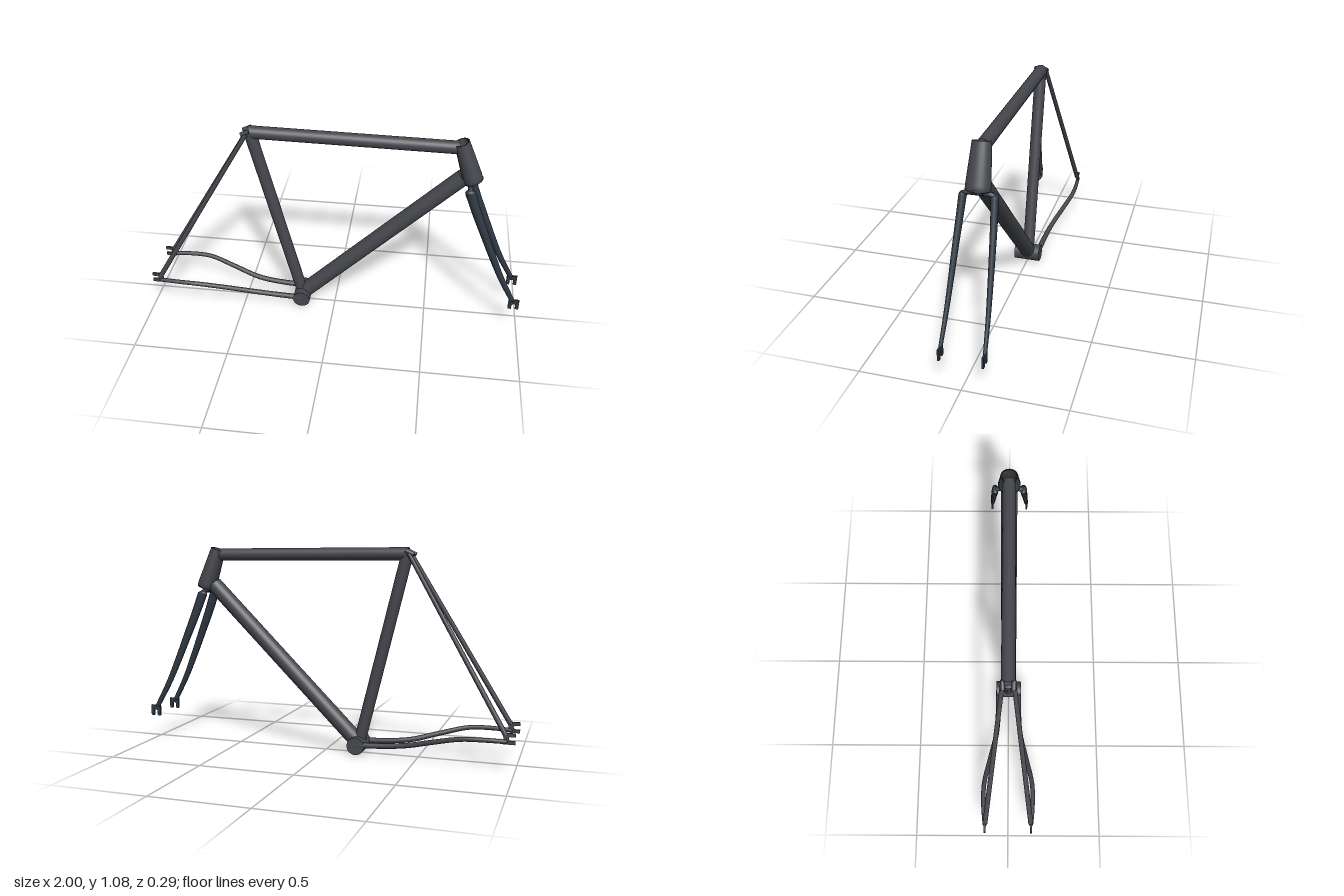
import * as THREE from 'three';

const V = (x, y, z = 0) => new THREE.Vector3(x, y, z);
const frameMat = new THREE.MeshStandardMaterial({ color: 0x45474d, side: THREE.DoubleSide });
const forkMat = new THREE.MeshStandardMaterial({ color: 0x2e3742, side: THREE.DoubleSide });

function add(parent, geometry, material, name) {
  const mesh = new THREE.Mesh(geometry, material);
  mesh.name = name;
  parent.add(mesh);
  return mesh;
}

// straight, optionally tapered tube from a to b
function rod(parent, name, a, b, ra, rb, mat, open = false) {
  const dir = b.clone().sub(a);
  const mesh = add(parent, new THREE.CylinderGeometry(rb, ra, dir.length(), 32, 1, open), mat, name);
  mesh.position.copy(a).add(b).multiplyScalar(0.5);
  mesh.quaternion.setFromUnitVectors(V(0, 1, 0), dir.normalize());
  return mesh;
}

// curved tube whose radius runs from ra to rb; zScale flattens it sideways
function taperedTube(parent, name, points, ra, rb, mat, zScale = 1) {
  const group = new THREE.Group();
  group.name = name;
  parent.add(group);
  const curve = new THREE.CatmullRomCurve3(points);
  const n = 40, sides = 20;
  const geo = new THREE.TubeGeometry(curve, n, 1, sides);
  const pos = geo.attributes.position, v = V(0, 0);
  for (let i = 0; i < pos.count; i++) {
    const t = Math.floor(i / (sides + 1)) / n;
    const c = curve.getPointAt(t);
    v.fromBufferAttribute(pos, i).sub(c).multiplyScalar(THREE.MathUtils.lerp(ra, rb, t));
    v.z *= zScale;
    v.add(c);
    pos.setXYZ(i, v.x, v.y, v.z);
  }
  geo.computeBoundingSphere();
  add(group, geo, mat, name + 'Tube');
  // rounded ends
  for (const [p, r] of [[points[0], ra], [points[points.length - 1], rb]]) {
    const cap = add(group, new THREE.SphereGeometry(r, 16, 10), mat, name + 'End');
    cap.position.copy(p);
    cap.scale.set(1, 0.6, zScale);
  }
}

// slotted plate, 0.055 wide, slot opening downwards
function dropout(parent, name, x, y, z, angle, mat) {
  const s = new THREE.Shape();
  s.moveTo(-0.028, 0.03);
  s.lineTo(-0.028, -0.028);
  s.lineTo(-0.01, -0.028);
  s.lineTo(-0.01, -0.005);
  s.absarc(0, -0.005, 0.01, Math.PI, 0, true);
  s.lineTo(0.01, -0.028);
  s.lineTo(0.028, -0.028);
  s.lineTo(0.028, 0.03);
  s.closePath();
  const geo = new THREE.ExtrudeGeometry(s, { depth: 0.01, bevelEnabled: false, curveSegments: 10 });
  geo.translate(0, 0, -0.005);
  const mesh = add(parent, geo, mat, name);
  mesh.position.set(x, y, z);
  mesh.rotation.z = angle;
}

export function createModel() {
  const model = new THREE.Group();
  model.name = 'bicycleFrame';
  const frame = new THREE.Group();
  frame.name = 'frame';
  const fork = new THREE.Group();
  fork.name = 'fork';
  model.add(frame, fork);

  // main triangle
  rod(frame, 'topTube', V(-0.437, 1.044), V(0.61, 1.032), 0.033, 0.033, frameMat, true);
  rod(frame, 'seatTube', V(-0.183, 0.05), V(-0.432, 1.055), 0.031, 0.031, frameMat, true);
  rod(frame, 'downTube', V(-0.175, 0.055), V(0.645, 0.87), 0.042, 0.042, frameMat);
  rod(frame, 'bottomBracket', V(-0.18, 0.046, -0.07), V(-0.18, 0.046, 0.07), 0.046, 0.046, frameMat);

  // hollow head tube, slightly flared toward the bottom
  const headDir = V(-0.072, 0.205).normalize();
  const profile = [[0.042, -0.109], [0.05, -0.109], [0.05, -0.085], [0.038, 0.109], [0.03, 0.109], [0.03, -0.109], [0.042, -0.109]];
  const head = add(frame, new THREE.LatheGeometry(profile.map(p => new THREE.Vector2(...p)), 40), frameMat, 'headTube');
  head.position.set(0.655, 0.958, 0);
  head.quaternion.setFromUnitVectors(V(0, 1, 0), headDir);
  head.scale.z = 1.17;

  // short steerer and lower ring
  rod(fork, 'steerer', V(0.682, 0.835), V(0.669, 0.875), 0.03, 0.03, forkMat);
  const ring = add(fork, new THREE.TorusGeometry(0.045, 0.007, 10, 40), forkMat, 'lowerRing');
  ring.position.set(0.691, 0.855, 0);
  ring.quaternion.setFromUnitVectors(V(0, 0, 1), headDir);

  // crown bar bending down into the legs
  taperedTube(fork, 'crown', [V(0.682, 0.826, -0.076), V(0.68, 0.836, -0.055), V(0.679, 0.838, 0),
    V(0.68, 0.836, 0.055), V(0.682, 0.826, 0.076)], 0.013, 0.013, forkMat);

  for (const s of [1, -1]) {
    const side = s > 0 ? 'left' : 'right';

    // rear stays
    taperedTube(frame, side + 'Chainstay', [
      V(-0.955, 0.148, s * 0.124), V(-0.86, 0.15, s * 0.132), V(-0.74, 0.145, s * 0.13),
      V(-0.6, 0.112, s * 0.1), V(-0.45, 0.073, s * 0.067), V(-0.33, 0.058, s * 0.058), V(-0.18, 0.05, s * 0.056),
    ], 0.011, 0.015, frameMat);
    rod(frame, side + 'Seatstay', V(-0.952, 0.18, s * 0.121), V(-0.442, 1.045, s * 0.027), 0.013, 0.011, frameMat);
    // pointed stay end hugging the seat tube
    rod(frame, side + 'StayCap', V(-0.468, 1.04, s * 0.025), V(-0.425, 1.06, s * 0.026), 0.011, 0.011, frameMat);
    dropout(frame, side + 'RearDropout', -0.972, 0.164, s * 0.123, -Math.PI / 2, frameMat);

    // fork leg, oval at the top and slim at the tip
    taperedTube(fork, side + 'ForkLeg', [
      V(0.681, 0.824, s * 0.074), V(0.72, 0.72, s * 0.08), V(0.767, 0.605, s * 0.086),
      V(0.825, 0.465, s * 0.092), V(0.885, 0.33, s * 0.098), V(0.957, 0.195, s * 0.104),
    ], 0.026, 0.013, forkMat, 0.68);
    dropout(fork, side + 'FrontDropout', 0.968, 0.168, s * 0.104, 0, forkMat);
  }
  return model;
}
